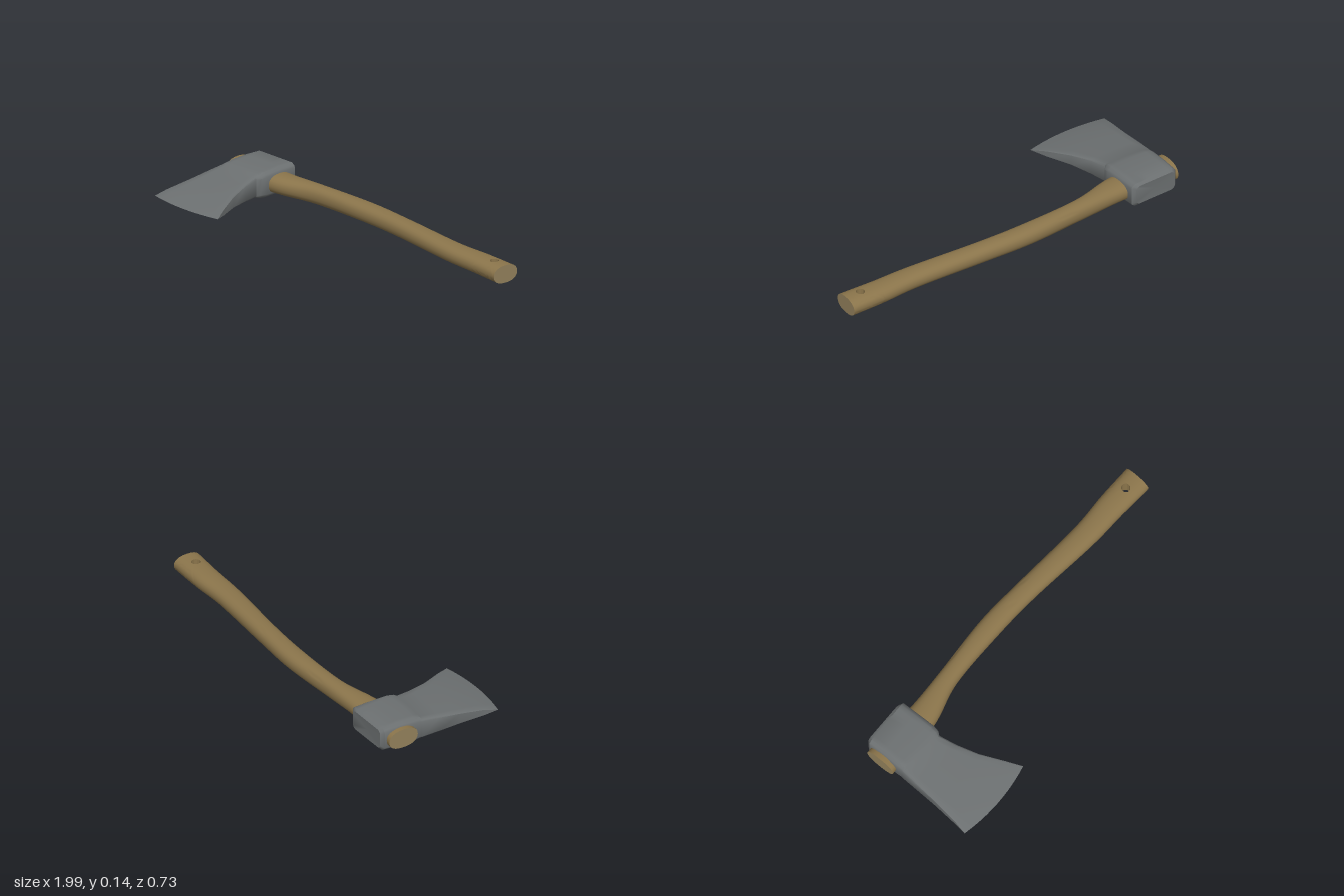
import * as THREE from 'three';
import { mergeGeometries, toCreasedNormals } from 'three/addons/utils/BufferGeometryUtils.js';

const V = (x, y, z) => new THREE.Vector3(x, y, z);

// Surface from a rule: point(i, j) for i in 0..nu, j in 0..nv
function grid(nu, nv, point) {
  const pos = [], index = [];
  for (let i = 0; i <= nu; i++) for (let j = 0; j <= nv; j++) pos.push(...point(i, j).toArray());
  for (let i = 0; i < nu; i++) for (let j = 0; j < nv; j++) {
    const a = i * (nv + 1) + j, b = a + nv + 1;
    index.push(a, b, b + 1, a, b + 1, a + 1);
  }
  const g = new THREE.BufferGeometry();
  g.setAttribute('position', new THREE.Float32BufferAttribute(pos, 3));
  g.setIndex(index);
  return g;
}

// Handle stations: centre x, y, z, half width, half height
const STATIONS = [
  [-0.835, 0.072, -0.27, 0.08, 0.05],
  [-0.555, 0.068, -0.18, 0.073, 0.047],
  [-0.31, 0.066, -0.138, 0.048, 0.046],
  [0, 0.063, -0.056, 0.054, 0.045],
  [0.25, 0.06, 0.034, 0.053, 0.044],
  [0.6, 0.053, 0.175, 0.06, 0.043],
  [0.8, 0.05, 0.238, 0.067, 0.044],
  [0.97, 0.048, 0.298, 0.072, 0.044],
];
const centre = new THREE.CatmullRomCurve3(STATIONS.map(s => V(s[0], s[1], s[2])), false, 'catmullrom');
const size = new THREE.CatmullRomCurve3(STATIONS.map(s => V(s[3], s[4], 0)), false, 'catmullrom');
const ROUND = 0.85;
const soft = v => Math.sign(v) * Math.abs(v) ** ROUND;

// Point on the handle at t along its length and angle a around it (0 is the top)
function onHandle(t, a) {
  const p = centre.getPoint(t), d = centre.getTangent(t), s = size.getPoint(t);
  const side = V(-d.z, 0, d.x).normalize();
  p.addScaledVector(side, s.x * soft(Math.sin(a)));
  p.y += s.y * soft(Math.cos(a));
  return p;
}

function handleGeometry() {
  const n = 12, around = 4 * n, rings = 8;
  const start = 6 / 7, half = (1 - start) / 2, mid = 1 - half;
  const holeT = 0.933, holeR = 0.022, holeRT = 0.0174;

  // Patch around the hole: ring 0 is the hole rim, the last ring the patch border
  const patch = (k, ring, under) => {
    const f = (k % n) / n * 2 - 1;
    const [q, w] = [[1, f], [-f, 1], [-1, -f], [f, -1]][Math.floor(k / n) % 4];
    const ang = Math.atan2(w, q);
    const v = holeR * Math.sin(ang) / 0.069;
    const rimA = Math.asin(Math.sign(v) * Math.abs(v) ** (1 / ROUND));
    const m = ring / rings;
    const t = THREE.MathUtils.lerp(holeT + holeRT * Math.cos(ang), mid + half * q, m);
    const a = THREE.MathUtils.lerp(rimA, w * Math.PI / 2, m);
    return onHandle(t, under ? Math.PI - a : a);
  };
  return toCreasedNormals(mergeGeometries([
    grid(2 * n, 42, (i, j) => onHandle(j / 42 * start, i / n * Math.PI)),
    grid(around, rings, (k, r) => patch(k, r, false)),
    grid(rings, around, (r, k) => patch(k, r, true)),
    // wall of the hole
    grid(around, 1, (k, j) => patch(k, 0, j === 0)),
  ]), 0.8);
}

// Flat end grain at either end of the handle
function endGeometry(t) {
  const point = (r, a) => centre.getPoint(t).lerp(onHandle(t, a / 12 * Math.PI), r);
  return toCreasedNormals(t === 1 ? grid(1, 24, point) : grid(24, 1, (a, r) => point(r, a)), 0.5);
}

// Head sections from poll to edge:
// left x, z, right x, z, centre y, half thickness, corner inset, flat part of the side, bulge
const SECTIONS = [
  [-0.655, -0.325, -0.655, -0.325, 0.076, 0, 0.08, 0.65, 0],
  [-0.765, -0.36, -0.542, -0.295, 0.076, 0.05, 0.08, 0.65, 0],
  [-0.783, -0.348, -0.528, -0.277, 0.075, 0.062, 0.08, 0.68, 0],
  [-0.81, -0.27, -0.55, -0.2, 0.073, 0.066, 0.08, 0.68, 0],
  [-0.838, -0.185, -0.578, -0.1, 0.071, 0.064, 0.08, 0.68, 0.01],
  [-0.845, -0.155, -0.592, -0.072, 0.07, 0.059, 0.07, 0.7, 0.012],
  [-0.85, -0.145, -0.612, -0.058, 0.069, 0.052, 0.04, 0.8, 0.012],
  [-0.88, -0.06, -0.62, 0.03, 0.065, 0.043, 0.025, 0.85, 0.012],
  [-0.92, 0.05, -0.617, 0.145, 0.06, 0.031, 0.02, 0.85, 0.016],
  [-0.97, 0.172, -0.595, 0.275, 0.054, 0.017, 0.02, 0.85, 0.02],
  [-1.0, 0.235, -0.58, 0.36, 0.05, 0, 0.02, 0.85, 0.025],
];

function headGeometry() {
  const n = 10;
  // Rounded rectangle running over the top, down the right, back below, up the left
  const outline = (e, flat) => {
    const top = Array.from({ length: n + 1 }, (_, i) => [e + (1 - 2 * e) * i / n, 1]);
    const halfway = [...top, [1 - e * 0.3, 0.5 + flat / 2], [1, flat]];
    const loop = [...halfway, ...halfway.map(([u, w]) => [1 - u, -w])];
    loop.push([e * 0.3, 0.5 + flat / 2]);
    loop.splice(loop.length - 1, 0, [0, flat]);
    loop.splice(halfway.length, 0, [1, -flat], [1 - e * 0.3, -0.5 - flat / 2]);
    return [...loop.slice(0, halfway.length + 2),
      ...top.map(([u]) => [1 - u, -1]),
      [e * 0.3, -0.5 - flat / 2], [0, -flat], [0, flat], [e * 0.3, 0.5 + flat / 2], top[0]];
  };
  const count = outline(0.1, 0.5).length - 1;
  return toCreasedNormals(grid(SECTIONS.length - 1, count, (i, j) => {
    const [lx, lz, rx, rz, y, h, e, flat, bulge] = SECTIONS[i];
    const [u, w] = outline(e, flat)[j];
    const b = bulge * 4 * u * (1 - u);
    return V(lx + (rx - lx) * u - 0.285 * b, y + h * w, lz + (rz - lz) * u + 0.96 * b);
  }), 0.62);
}

export function createModel() {
  const material = (name, color) => Object.assign(new THREE.MeshStandardMaterial({ color }), { name });
  const wood = material('wood', 0x8b754b);
  const endGrain = material('end grain', 0x94825c);
  const steel = material('steel', 0x6c7071);

  const group = new THREE.Group();
  group.name = 'axe';
  const add = (name, geometry, mat) => {
    const mesh = new THREE.Mesh(geometry, mat);
    mesh.name = name;
    group.add(mesh);
  };
  add('handle', handleGeometry(), wood);
  add('handleButt', endGeometry(1), endGrain);
  add('handleTop', endGeometry(0), endGrain);
  add('axeHead', headGeometry(), steel);
  return group;
}
